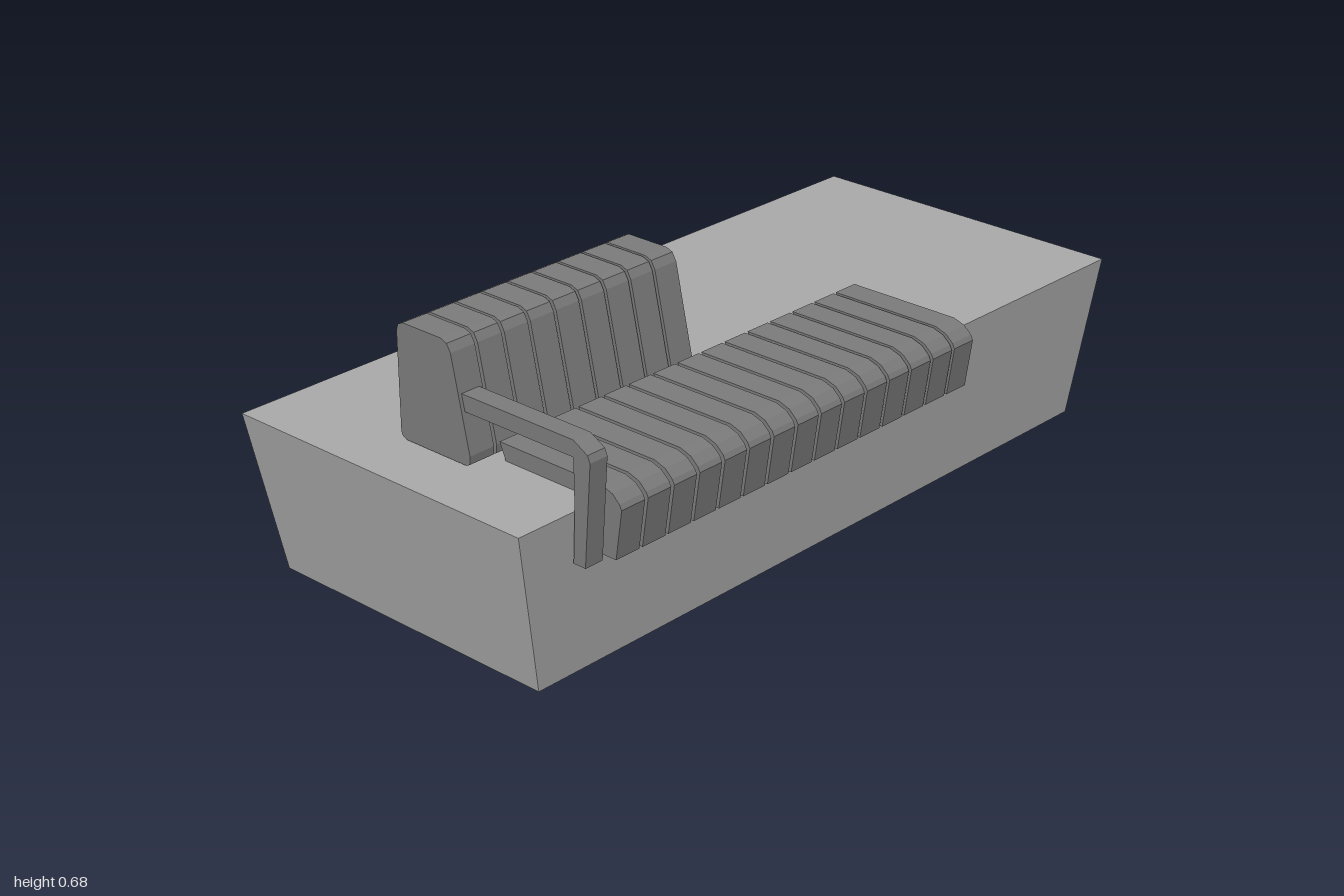
import * as THREE from 'three';

const stone = new THREE.MeshStandardMaterial({ color: 0xa8a8a8, flatShading: true });
const slatGrey = new THREE.MeshStandardMaterial({ color: 0x7a7a7a, flatShading: true });

// Extrudes an x-y outline along z, from z0 to z0 + depth
function slab(name, points, z0, depth) {
  const shape = new THREE.Shape(points.map(([x, y]) => new THREE.Vector2(x, y)));
  const geometry = new THREE.ExtrudeGeometry(shape, { depth, bevelEnabled: false });
  geometry.translate(0, 0, z0);
  const mesh = new THREE.Mesh(geometry, slatGrey);
  mesh.name = name;
  return mesh;
}

// Row of equal slats with narrow gaps, filling zMin to zMax
function slatRow(name, points, count, zMin, zMax, width) {
  const row = new THREE.Group();
  row.name = name;
  const pitch = (zMax - zMin - width) / (count - 1);
  for (let i = 0; i < count; i++) {
    row.add(slab(name + 'Slat' + (i + 1), points, zMin + i * pitch, width));
  }
  return row;
}

// Plinth that flares outwards to the top
function createPlinth() {
  const geometry = new THREE.BoxGeometry(1, 0.4, 1);
  const p = geometry.attributes.position;
  for (let i = 0; i < p.count; i++) {
    const top = p.getY(i) > 0;
    p.setX(i, -0.035 + p.getX(i) * (top ? 0.865 : 0.8));
    p.setZ(i, p.getZ(i) * (top ? 2 : 1.85));
  }
  geometry.translate(0, 0.2, 0);
  geometry.computeVertexNormals();
  const mesh = new THREE.Mesh(geometry, stone);
  mesh.name = 'plinth';
  return mesh;
}

export function createModel() {
  const model = new THREE.Group();
  model.name = 'plinthBench';
  model.add(createPlinth());

  // Seat slats lie on the plinth and fold down over its edge
  const seat = [
    [0.11, 0.44], [0.127, 0.4], [0.399, 0.4], [0.394, 0.28], [0.448, 0.28],
    [0.466, 0.4], [0.46, 0.412], [0.44, 0.43], [0.41, 0.44],
  ];
  model.add(slatRow('seat', seat, 15, -0.39, 0.775, 0.069));

  // Backrest slats, upright at the rear and sloping towards the seat
  const backrest = [
    [-0.112, 0.42], [-0.107, 0.41], [-0.095, 0.405], [0.09, 0.405], [0.1, 0.41],
    [0.102, 0.43], [0.054, 0.652], [0.043, 0.671], [0.025, 0.678],
    [-0.092, 0.678], [-0.107, 0.671], [-0.112, 0.655],
  ];
  model.add(slatRow('backrest', backrest, 9, 0.17, 0.853, 0.069));

  // Armrest runs from the backrest and bends down past the plinth edge
  const armrest = [
    [0.07, 0.563], [0.078, 0.524], [0.4, 0.524], [0.4, 0.4], [0.394, 0.28],
    [0.428, 0.28], [0.447, 0.525], [0.44, 0.541], [0.4, 0.563],
  ];
  model.add(slab('armrest', armrest, 0.794, 0.05));
  return model;
}
